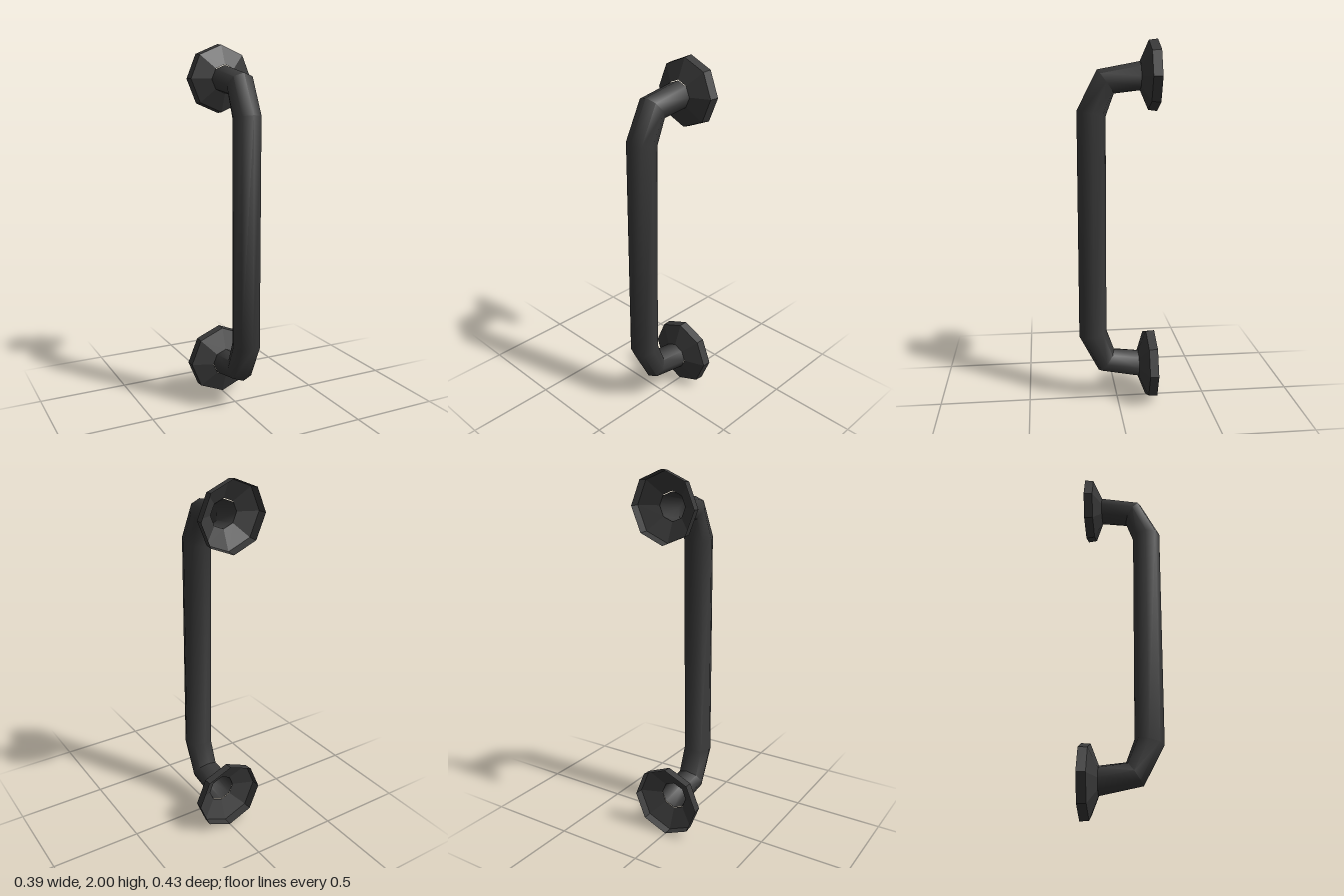
import * as THREE from 'three';
import { toCreasedNormals } from 'three/addons/utils/BufferGeometryUtils.js';

const SIDES = 8;
const TUBE_RADIUS = 0.078;

// Tube swept through octagonal rings; each ring is given by its
// outer and inner edge point in the yz plane: [outerZ, outerY, innerZ, innerY]
function sweptTube(rings) {
  const positions = [];
  const index = [];
  rings.forEach(([oz, oy, iz, iy], k) => {
    for (let j = 0; j < SIDES; j++) {
      const a = (j / SIDES) * Math.PI * 2;
      const c = Math.cos(a) / 2;
      positions.push(
        Math.sin(a) * TUBE_RADIUS,
        (oy + iy) / 2 + c * (oy - iy),
        (oz + iz) / 2 + c * (oz - iz)
      );
      if (k < rings.length - 1) {
        const p = k * SIDES + j;
        const q = k * SIDES + ((j + 1) % SIDES);
        index.push(p, p + SIDES, q, q, p + SIDES, q + SIDES);
      }
    }
  });
  const geometry = new THREE.BufferGeometry();
  geometry.setAttribute('position', new THREE.Float32BufferAttribute(positions, 3));
  geometry.setIndex(index);
  return toCreasedNormals(geometry, 0.9);
}

// Hollow flange, open at the wall side, with a hole for the tube
function flange(name, y, backRadius, frontRadius, holeRadius, material) {
  const profile = [
    new THREE.Vector2(backRadius, -0.213),
    new THREE.Vector2(frontRadius, -0.165),
    new THREE.Vector2(holeRadius, -0.12)
  ];
  const geometry = new THREE.LatheGeometry(profile, SIDES);
  geometry.rotateX(Math.PI / 2);
  const mesh = new THREE.Mesh(geometry, material);
  mesh.name = name;
  mesh.position.y = y;
  return mesh;
}

export function createModel() {
  const group = new THREE.Group();
  group.name = 'pullHandle';
  const color = 0x3a3a3a;
  const smooth = new THREE.MeshStandardMaterial({ color, side: THREE.DoubleSide });
  const flat = new THREE.MeshStandardMaterial({ color, side: THREE.DoubleSide, flatShading: true });

  // Bent grip from the upper flange down to the lower one
  const grip = new THREE.Mesh(sweptTube([
    [-0.12, 1.887, -0.12, 1.738],
    [0.105, 1.845, 0.017, 1.722],
    [0.213, 1.635, 0.06, 1.605],
    [0.213, 0.375, 0.06, 0.408],
    [0.105, 0.168, 0.017, 0.29],
    [-0.12, 0.122, -0.12, 0.276]
  ]), smooth);
  grip.name = 'grip';
  group.add(grip);

  // Wall flanges
  group.add(flange('upperFlange', 1.815, 0.185, 0.179, 0.076, flat));
  group.add(flange('lowerFlange', 0.197, 0.197, 0.194, 0.078, flat));
  return group;
}
